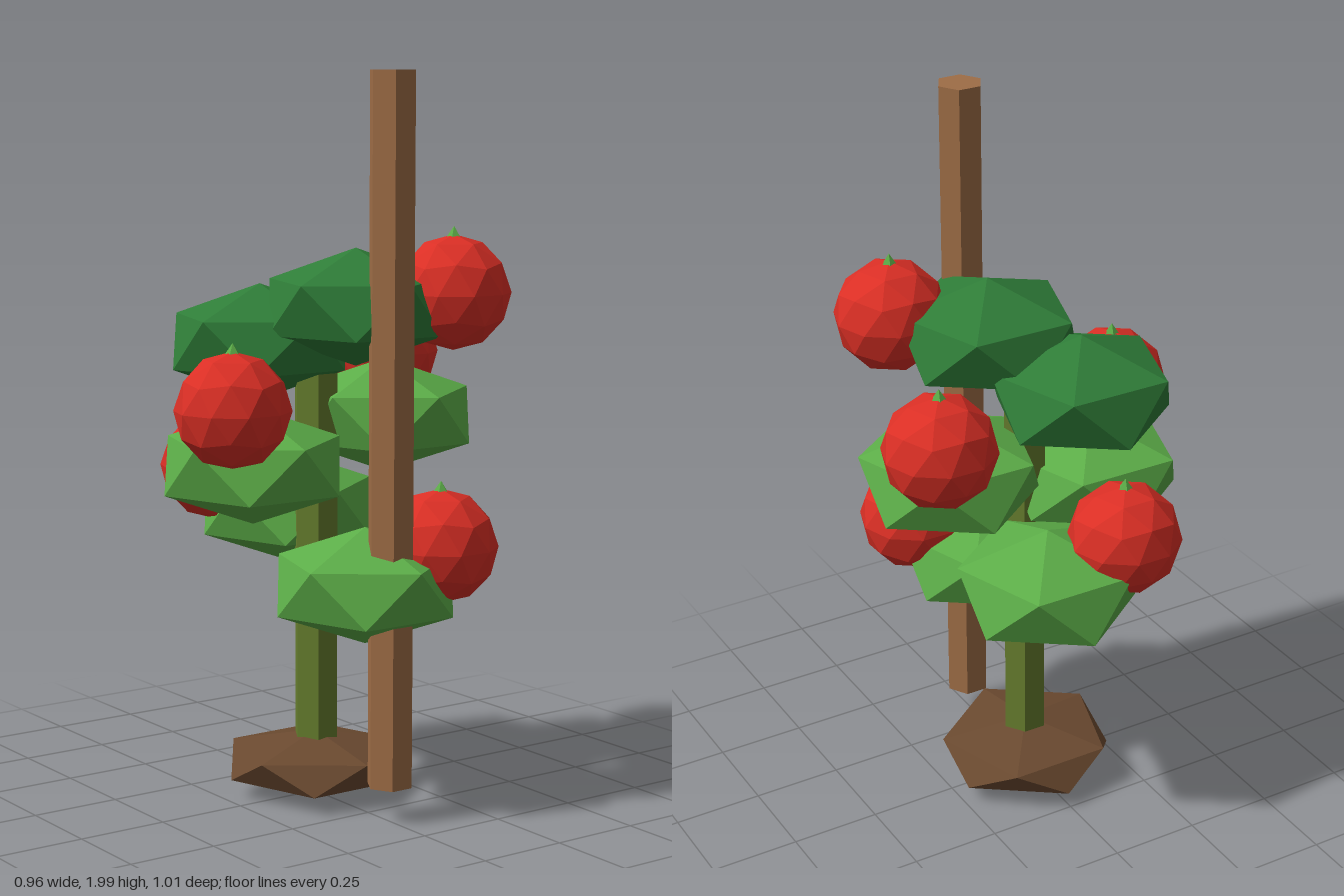
import * as THREE from 'three';

const paint = (name, color) =>
  Object.assign(new THREE.MeshStandardMaterial({ color, flatShading: true }), { name });

// Faceted ball standing on a corner, squashed vertically
function facetedBall(radius, detail, squash = 1) {
  const g = new THREE.IcosahedronGeometry(radius, detail);
  g.rotateZ(-Math.atan(2 / (1 + Math.sqrt(5))));
  g.scale(1, squash, 1);
  g.computeVertexNormals();
  return g;
}

export function createModel() {
  const model = new THREE.Group();
  model.name = 'tomatoPlant';

  const red = paint('tomatoRed', 0xdb2f25);
  const lightGreen = paint('lightLeafGreen', 0x5cad48);
  const darkGreen = paint('darkLeafGreen', 0x2f7d38);
  const olive = paint('stemOlive', 0x667d2e);
  const wood = paint('stakeWood', 0x9e6d46);
  const earth = paint('soilBrown', 0x6b4a30);

  const add = (name, geometry, material, [x, y, z], parent = model) => {
    const mesh = new THREE.Mesh(geometry, material);
    mesh.name = name;
    mesh.position.set(x, y, z);
    parent.add(mesh);
    return mesh;
  };

  // Soil mound, stem and supporting stake
  add('soil', facetedBall(0.273, 0, 0.32), earth, [-0.007, 0.0925, -0.007]);
  add('stem', new THREE.CylinderGeometry(0.064, 0.064, 1.2, 6), olive, [-0.007, 0.7, -0.01]);
  add('stake', new THREE.CylinderGeometry(0.064, 0.064, 1.9, 6), wood, [0.333, 1.05, -0.01]);

  // Leaf clumps
  const leaf = facetedBall(0.275, 0, 0.58);
  [
    [0.224, 0.63, -0.007],
    [-0.239, 0.775, -0.075],
    [-0.007, 0.945, 0.2],
    [-0.007, 1.05, -0.244],
  ].forEach((p, i) => add(`lowerLeaf${i + 1}`, leaf, lightGreen, p));
  [
    [-0.131, 1.265, 0.092],
    [0.113, 1.37, -0.055],
  ].forEach((p, i) => add(`upperLeaf${i + 1}`, leaf, darkGreen, p));

  // Tomatoes, each with a small five-sided cap
  const fruit = facetedBall(0.156, 1);
  const cap = new THREE.ConeGeometry(0.041, 0.06, 5);
  cap.rotateY(Math.PI);
  [
    [0.121, 1.12, 0.348],
    [-0.323, 0.9, 0.115],
    [0.331, 0.735, -0.18],
    [-0.155, 1.21, -0.351],
    [0.269, 1.41, -0.267],
  ].forEach((p, i) => {
    const tomato = new THREE.Group();
    tomato.name = `tomato${i + 1}`;
    tomato.position.set(...p);
    add('fruit', fruit, red, [0, 0, 0], tomato);
    add('cap', cap, lightGreen, [0, 0.148, 0], tomato);
    model.add(tomato);
  });

  return model;
}
